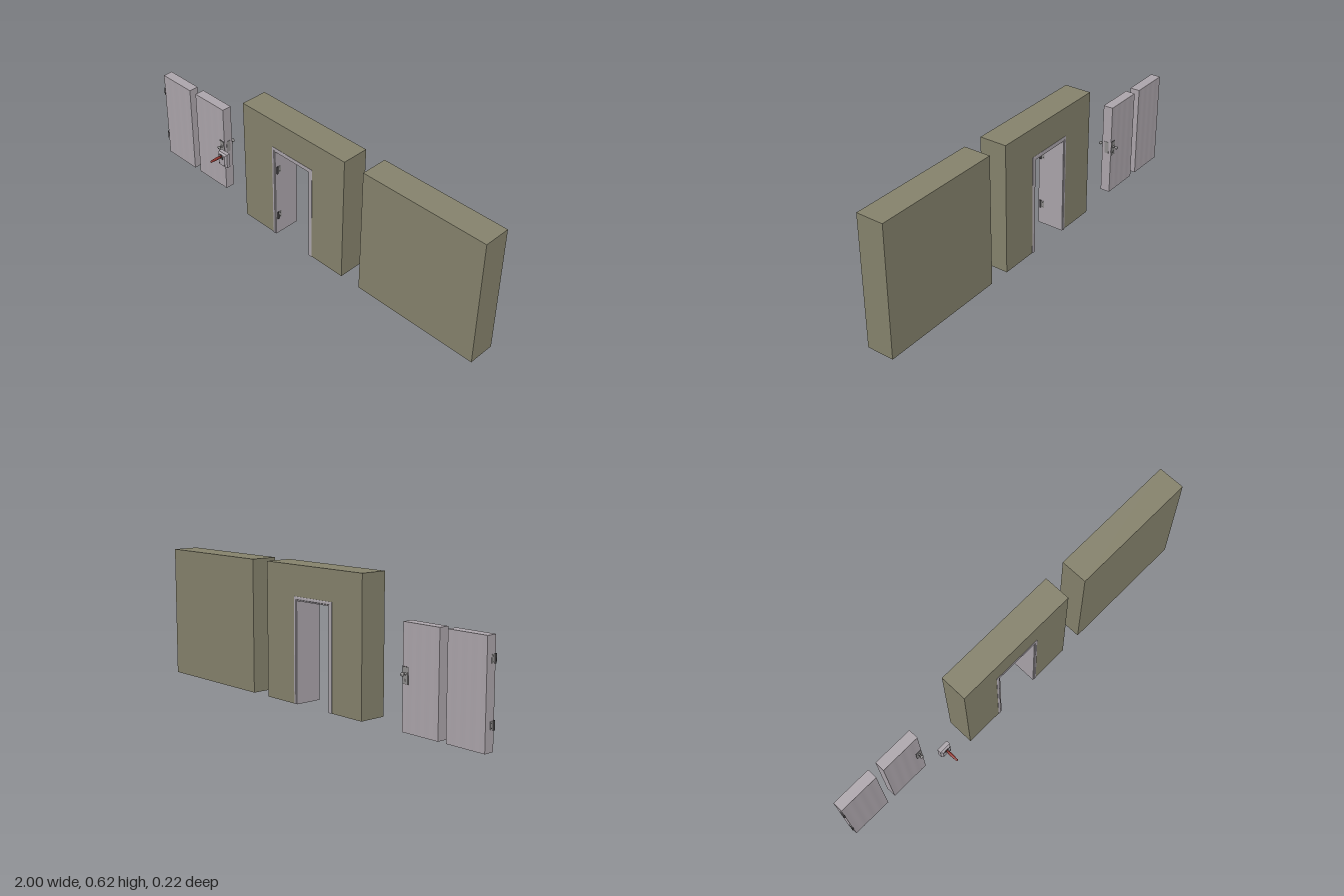
import * as THREE from 'three';

const paint = (name, color) => {
  const m = new THREE.MeshStandardMaterial({ color, side: THREE.DoubleSide });
  m.name = name;
  return m;
};
const wallPaint = paint('olive plaster', 0x85826c);
const doorPaint = paint('pale grey wood', 0xaca5ab);
const framePaint = paint('frame grey', 0xaaa4aa);
const steel = paint('steel', 0x8f8d8d);
const dark = paint('dark metal', 0x454344);
const red = paint('red handle', 0x8c3029);

function add(parent, name, geo, mat, x = 0, y = 0, z = 0) {
  const m = new THREE.Mesh(geo, mat);
  m.name = name;
  m.position.set(x, y, z);
  parent.add(m);
  return m;
}

function group(parent, name) {
  const g = new THREE.Group();
  g.name = name;
  parent.add(g);
  return g;
}

// Flat-shaded strips joining rows of equally many points
function loft(rows) {
  const v = [];
  for (let i = 0; i + 1 < rows.length; i++) {
    for (let j = 0; j + 1 < rows[i].length; j++) {
      const a = rows[i][j], b = rows[i][j + 1], c = rows[i + 1][j + 1], d = rows[i + 1][j];
      v.push(...a, ...b, ...c, ...a, ...c, ...d);
    }
  }
  const g = new THREE.BufferGeometry();
  g.setAttribute('position', new THREE.Float32BufferAttribute(v, 3));
  g.computeVertexNormals();
  return g;
}

// Box without its underside
function openBox(w, h, d) {
  const g = new THREE.BoxGeometry(w, h, d);
  const idx = Array.from(g.index.array);
  idx.splice(18, 6);
  g.clearGroups();
  g.setIndex(idx);
  return g;
}

// Two points up, two points down: an arch outline at one depth
const arch = (x0, x1, top, z, base = 0.003) =>
  [[x0, base, z], [x0, top, z], [x1, top, z], [x1, base, z]];

// Opening in the doorway wall
const L = -0.142, R = 0.067, T = 0.465;

function doorwayWall(parent) {
  const g = group(parent, 'doorwayWall');
  const front = 0.028, back = -0.101, o = 0.012;
  const outer = z => arch(-0.345, 0.272, 0.623, z);
  const inner = z => arch(L - o, R + o, T + o, z);
  add(g, 'wallOuterSides', loft([outer(front), outer(back)]), wallPaint);
  add(g, 'wallFront', loft([inner(front), outer(front)]), wallPaint);
  add(g, 'wallBack', loft([outer(back), inner(back)]), wallPaint);
}

function doorFrame(parent) {
  const g = group(parent, 'doorFrame');
  // Moulding section: distance out from the opening, height off the wall centre
  const half = [[0.019, 0.062], [0.019, 0.066], [0.016, 0.0675], [0.007, 0.0675], [0.005, 0.0655], [0, 0.0655]];
  const section = [...half, ...half.slice().reverse().map(([o, z]) => [o, -z])];
  add(g, 'frameMoulding', loft(section.map(([o, z]) => arch(L - o, R + o, T + o, z - 0.0365))), framePaint);
  for (const y of [0.105, 0.36]) {
    hinge(g, L, y, 0.014, 1);
  }
}

// Hinge barrel with a thin leaf on the edge it is fixed to
function hinge(parent, x, y, z, side) {
  const g = group(parent, 'hinge');
  g.position.set(x, y, z);
  add(g, 'hingeBarrel', new THREE.CylinderGeometry(0.0045, 0.0045, 0.038, 10), dark, side * 0.002, 0, 0.004);
  add(g, 'hingeLeaf', new THREE.BoxGeometry(0.002, 0.034, 0.016), steel, side * 0.001, 0, -0.008);
  for (const dy of [-0.01, 0.01]) {
    const s = add(g, 'hingeScrew', new THREE.CylinderGeometry(0.002, 0.002, 0.002, 8), dark, side * 0.002, dy, -0.01);
    s.rotation.z = Math.PI / 2;
  }
}

// Door leaf with softly rounded vertical planks, open below
function doorLeaf(parent, name, x0, x1) {
  const g = group(parent, name);
  const w = x1 - x0, h = 0.451, d = 0.048;
  g.position.set((x0 + x1) / 2, 0, -0.062);
  const face = new THREE.PlaneGeometry(w, h, 32, 1);
  const p = face.attributes.position;
  for (let i = 0; i < p.count; i++) {
    const t = (p.getX(i) / w + 0.5) * 4;
    p.setZ(i, d / 2 - 0.0007 * (1 - Math.cos(t * Math.PI * 2)) / 2);
  }
  face.computeVertexNormals();
  add(g, 'doorFrontPlanks', face, doorPaint, 0, h / 2);
  add(g, 'doorBackPlanks', face, doorPaint, 0, h / 2).rotation.y = Math.PI;
  const edge = z => [[-w / 2, 0, z], [-w / 2, h, z], [w / 2, h, z], [w / 2, 0, z]];
  add(g, 'doorEdges', loft([edge(d / 2), edge(-d / 2)]), doorPaint);
  return g;
}

// Turned knob on a rose and backplate, on both faces
function latch(door) {
  const profile = [[0.006, 0], [0.006, 0.002], [0.003, 0.004], [0.003, 0.011], [0.007, 0.014],
    [0.009, 0.018], [0.007, 0.022], [0, 0.0235]].map(([r, y]) => new THREE.Vector2(r, y));
  for (const side of [1, -1]) {
    const g = group(door, side > 0 ? 'frontLatch' : 'backLatch');
    g.position.set(0.081, 0.242, side * 0.024);
    if (side < 0) g.rotation.y = Math.PI;
    add(g, 'latchPlateRim', new THREE.BoxGeometry(0.031, 0.072, 0.002), dark, 0, -0.007, 0.0005);
    add(g, 'latchPlate', new THREE.BoxGeometry(0.027, 0.068, 0.003), steel, 0, -0.007, 0.001);
    add(g, 'knob', new THREE.LatheGeometry(profile, 14), steel, 0, 0, 0.002).rotation.x = Math.PI / 2;
    add(g, 'keyhole', new THREE.BoxGeometry(0.004, 0.012, 0.001), dark, 0, -0.026, 0.0027);
  }
  add(door, 'strikePlate', new THREE.BoxGeometry(0.002, 0.06, 0.022), steel, 0.0975, 0.237, 0);
}

function leverSwitch(parent) {
  const g = group(parent, 'leverSwitch');
  g.position.set(-0.492, 0.248, 0);
  // Housing with chamfered front
  const ring = (w, h, z) => [[-w, -h, z], [w, -h, z], [w, h, z], [-w, h, z], [-w, -h, z]];
  add(g, 'housing', loft([
    ring(0, 0, 0.018), ring(0.028, 0.036, 0.018), ring(0.028, 0.036, 0.036),
    ring(0.021, 0.029, 0.045), ring(0, 0, 0.045)
  ]), framePaint);
  for (const x of [-0.017, 0.017]) {
    for (const y of [-0.023, 0.023]) {
      const s = add(g, 'screw', new THREE.CylinderGeometry(0.003, 0.003, 0.003, 8), dark, x, y, 0.0445);
      s.rotation.x = Math.PI / 2;
    }
  }
  add(g, 'leverSlot', new THREE.BoxGeometry(0.018, 0.026, 0.002), dark, 0, 0.017, 0.0455);
  // Handle
  const profile = [[0, 0.045], [0.004, 0.045], [0.0045, 0.052], [0.0065, 0.062], [0.0065, 0.088],
    [0.005, 0.095], [0.005, 0.109], [0, 0.111]].map(([r, y]) => new THREE.Vector2(r, y));
  add(g, 'leverHandle', new THREE.LatheGeometry(profile, 12), red, 0, 0.022, 0).rotation.x = Math.PI / 2;
}

export function createModel() {
  const model = new THREE.Group();
  model.name = 'doorAndWallSet';

  add(model, 'plainWall', openBox(0.625, 0.62, 0.128), wallPaint, 0.6875, 0.313, -0.037);
  doorwayWall(model);
  doorFrame(model);

  const plainDoor = doorLeaf(model, 'hingedDoor', -0.997, -0.802);
  for (const y of [0.105, 0.36]) {
    hinge(plainDoor, -0.0975, y, 0.018, -1);
  }
  latch(doorLeaf(model, 'latchedDoor', -0.761, -0.566));
  leverSwitch(model);
  return model;
}
